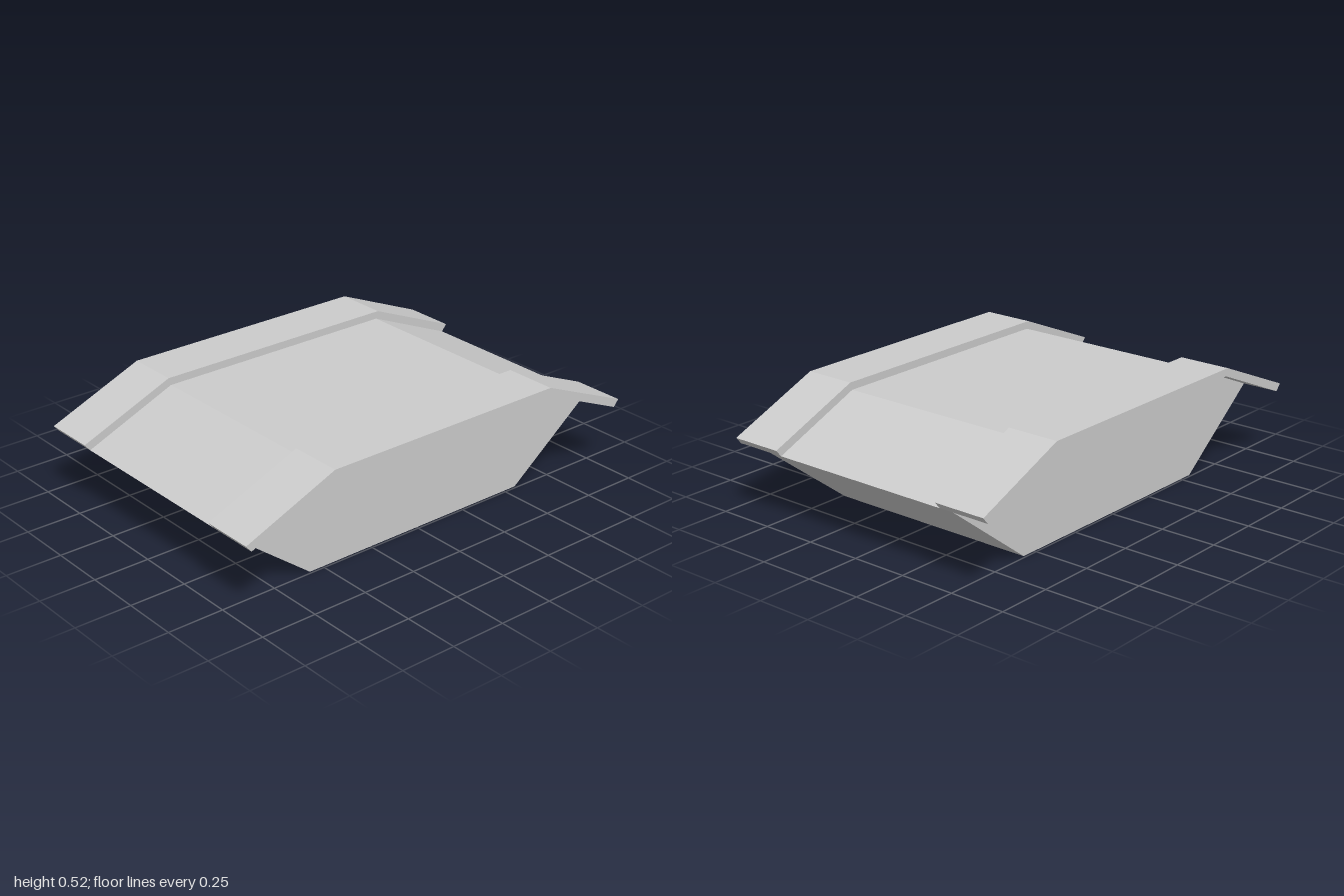
import * as THREE from 'three';

const material = new THREE.MeshStandardMaterial({ color: 0xcccccc, flatShading: true });

// Extrudes a (z, y) side profile across the width from x0 to x1
function sideExtrusion(name, profile, x0, x1) {
  const shape = new THREE.Shape(profile.map(([z, y]) => new THREE.Vector2(z, y)));
  const geometry = new THREE.ExtrudeGeometry(shape, { depth: x1 - x0, bevelEnabled: false });
  geometry.rotateY(-Math.PI / 2).translate(x1, 0, 0);
  const mesh = new THREE.Mesh(geometry, material);
  mesh.name = name;
  return mesh;
}

// Completes a front half profile with its mirror image at the back
const mirrored = (half) => [...half, ...half.map(([z, y]) => [-z, y]).reverse()];

export function createModel() {
  const model = new THREE.Group();
  model.name = 'armouredHull';

  // Solid hull with sloped ends
  const deck = [[0.975, 0.315], [0.565, 0.488]];
  model.add(sideExtrusion('hull', mirrored([[0.565, 0], ...deck]), -0.49, 0.49));

  // Bent guards resting on the deck and overhanging each side
  const guardTop = [[1, 0.345], [0.575, 0.522]];
  const guard = [...mirrored(guardTop), ...mirrored(deck).reverse()];
  model.add(sideExtrusion('leftTrackGuard', guard, 0.425, 0.66));
  model.add(sideExtrusion('rightTrackGuard', guard, -0.66, -0.425));

  return model;
}
